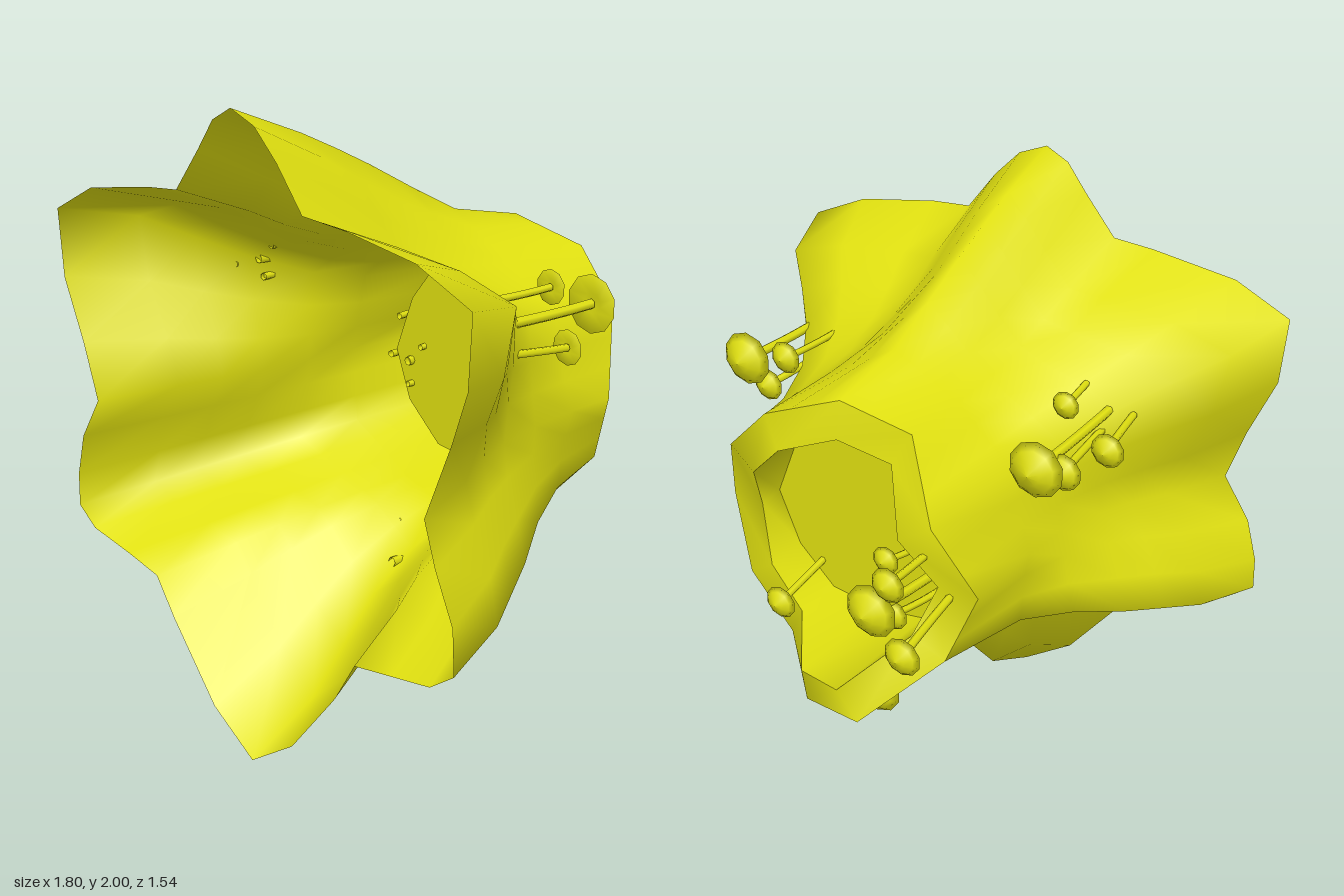
import * as THREE from 'three';

const wood = new THREE.MeshStandardMaterial({ color: 0xe0e010, side: THREE.DoubleSide });
wood.name = 'yellow wood';

// Root outline at the wide end (x, y), clockwise from the top: three points per half lobe
const BASE = [
  [-.02, 2], [.08, 1.96], [.17, 1.87], [.27, 1.74], [.41, 1.73], [.7, 1.68],
  [.9, 1.59], [.885, 1.38], [.83, 1.23], [.73, 1], [.77, .87], [.835, .72],
  [.84, .58], [.75, .52], [.6, .5], [.45, .48], [.36, .34], [.17, .12],
  [-.02, 0], [-.2, .12], [-.39, .36], [-.47, .48], [-.62, .515], [-.8, .55],
  [-.88, .61], [-.875, .72], [-.835, .86], [-.74, 1], [-.8, 1.18], [-.885, 1.38],
  [-.9, 1.6], [-.71, 1.69], [-.42, 1.73], [-.28, 1.74], [-.17, 1.87], [-.1, 1.96]];

// Broken rim (x, y, z), one corner per root tip and per valley
const RIM = [
  [.01, 1.55, -.38], [.24, 1.47, -.44], [.4, 1.31, -.41], [.5, 1.05, -.28],
  [.4, .82, -.34], [.23, .66, -.36], [0, .63, -.6], [-.22, .66, -.65],
  [-.4, .83, -.45], [-.48, 1.05, -.4], [-.38, 1.3, -.5], [-.22, 1.49, -.35]];

// How far each root still spreads at each depth
const LEVELS = [.76, .51, .38, .25, .08, -.1];
const TOP = [1, .79, .66, .52, .32, .12];
const UPPER = [1, .84, .6, .38, .17, .06];
const LOWER = [1, .83, .68, .53, .3, .12];
const BOTTOM = [1, .8, .58, .36, .19, .08];
const ROOTS = [TOP, UPPER, LOWER, BOTTOM, LOWER, UPPER];
const VALLEY = [1, .62, .38, .2, .06, 0];

// Surface through closed rings of points
function loft(rings, name) {
  const n = rings[0].length, index = [];
  for (let i = 0; i < rings.length - 1; i++) {
    for (let j = 0; j < n; j++) {
      const a = i * n + j, b = i * n + (j + 1) % n;
      index.push(a, b, b + n, a, b + n, a + n);
    }
  }
  const geo = new THREE.BufferGeometry();
  geo.setAttribute('position', new THREE.Float32BufferAttribute(rings.flat(2), 3));
  geo.setIndex(index);
  geo.computeVertexNormals();
  const mesh = new THREE.Mesh(geo, wood);
  mesh.name = name;
  return mesh;
}

function mushroom([x, y, z], [bx, by, bz], r) {
  const group = new THREE.Group();
  group.name = 'mushroom';
  // Slightly bent stem
  const curve = new THREE.QuadraticBezierCurve3(
    new THREE.Vector3(bx, by, bz),
    new THREE.Vector3(bx * .6 + x * .4, by * .6 + y * .4 - .008, bz * .4 + z * .6),
    new THREE.Vector3(x, y, z));
  const stem = new THREE.Mesh(new THREE.TubeGeometry(curve, 5, .006 + r * .11, 6), wood);
  stem.name = 'mushroomStem';
  // Conical cap pointing away from the roots
  const profile = [[0, .08], [.35, .04], [1, 0], [.75, .22], [.38, .47], [0, .6]]
    .map(([a, b]) => new THREE.Vector2(a * r, b * r));
  const cap = new THREE.Mesh(new THREE.LatheGeometry(profile, 10).rotateX(-Math.PI / 2), wood);
  cap.position.set(x, y, z);
  cap.name = 'mushroomCap';
  group.add(stem, cap);
  return group;
}

export function createModel() {
  const model = new THREE.Group();
  model.name = 'hollowStump';

  const rim = BASE.map((_, j) => {
    const a = RIM[Math.floor(j / 3)], b = RIM[(Math.floor(j / 3) + 1) % 12];
    return a.map((v, k) => v + (b[k] - v) * (j % 3) / 3);
  });

  // Flared bark from the roots to the broken rim
  const rings = LEVELS.map((z, i) => BASE.map(([x, y], j) => {
    const valley = 1 - Math.abs(j % 6 - 3) / 3;
    const root = ROOTS[Math.round(j / 6) % 6];
    const f = root[i] + (VALLEY[i] - root[i]) * valley;
    const [rx, ry] = rim[j];
    return [rx + (x - rx) * f, ry + (y - ry) * f, z];
  }));
  model.add(loft([...rings, rim], 'bark'));

  // Rim thickness, hollow and its floor
  const shrink = (p, s, z) => [.01 + (p[0] - .01) * s, 1.08 + (p[1] - 1.08) * s, z];
  const inner = RIM.map(p => shrink(p, .745, p[2] - .02));
  const bottom = RIM.map(p => shrink(p, .76, -.2));
  const centre = RIM.map(() => [.01, 1.08, -.2]);
  model.add(loft([RIM, inner], 'rim'));
  model.add(loft([inner, bottom], 'hollowWall'));
  model.add(loft([bottom, centre], 'hollowFloor'));

  // Mushrooms: cap position, stem foot, cap radius
  const clusters = {
    leftMushrooms: [
      [[.6, 1.41, -.06], [.58, 1.41, .34], .09],
      [[.46, 1.44, -.04], [.44, 1.44, .26], .055],
      [[.58, 1.29, .02], [.55, 1.31, .28], .055]],
    rightMushrooms: [
      [[-.55, 1.41, -.21], [-.55, 1.41, .24], .09],
      [[-.58, 1.36, -.1], [-.54, 1.35, .23], .06],
      [[-.66, 1.4, .02], [-.61, 1.39, .29], .055],
      [[-.48, 1.47, .09], [-.46, 1.47, .26], .045]],
    hollowMushrooms: [
      [[-.44, 1.03, -.74], [-.37, 1.04, -.18], .06],
      [[-.36, 1.21, -.69], [-.33, 1.18, -.18], .055],
      [[-.29, 1.09, -.67], [-.29, 1.03, -.18], .085],
      [[-.25, .97, -.5], [-.29, .95, -.18], .05],
      [[-.2, 1.12, -.46], [-.23, 1.09, -.18], .045],
      [[.21, .82, -.44], [.22, .85, -.18], .055]],
    lowerMushrooms: [
      [[-.02, .47, -.25], [-.02, .48, .16], .09],
      [[.08, .55, -.2], [.08, .59, .05], .045],
      [[-.1, .52, -.13], [-.1, .57, .05], .04]],
  };
  for (const [name, list] of Object.entries(clusters)) {
    const group = new THREE.Group();
    group.name = name;
    for (const m of list) group.add(mushroom(...m));
    model.add(group);
  }
  return model;
}
